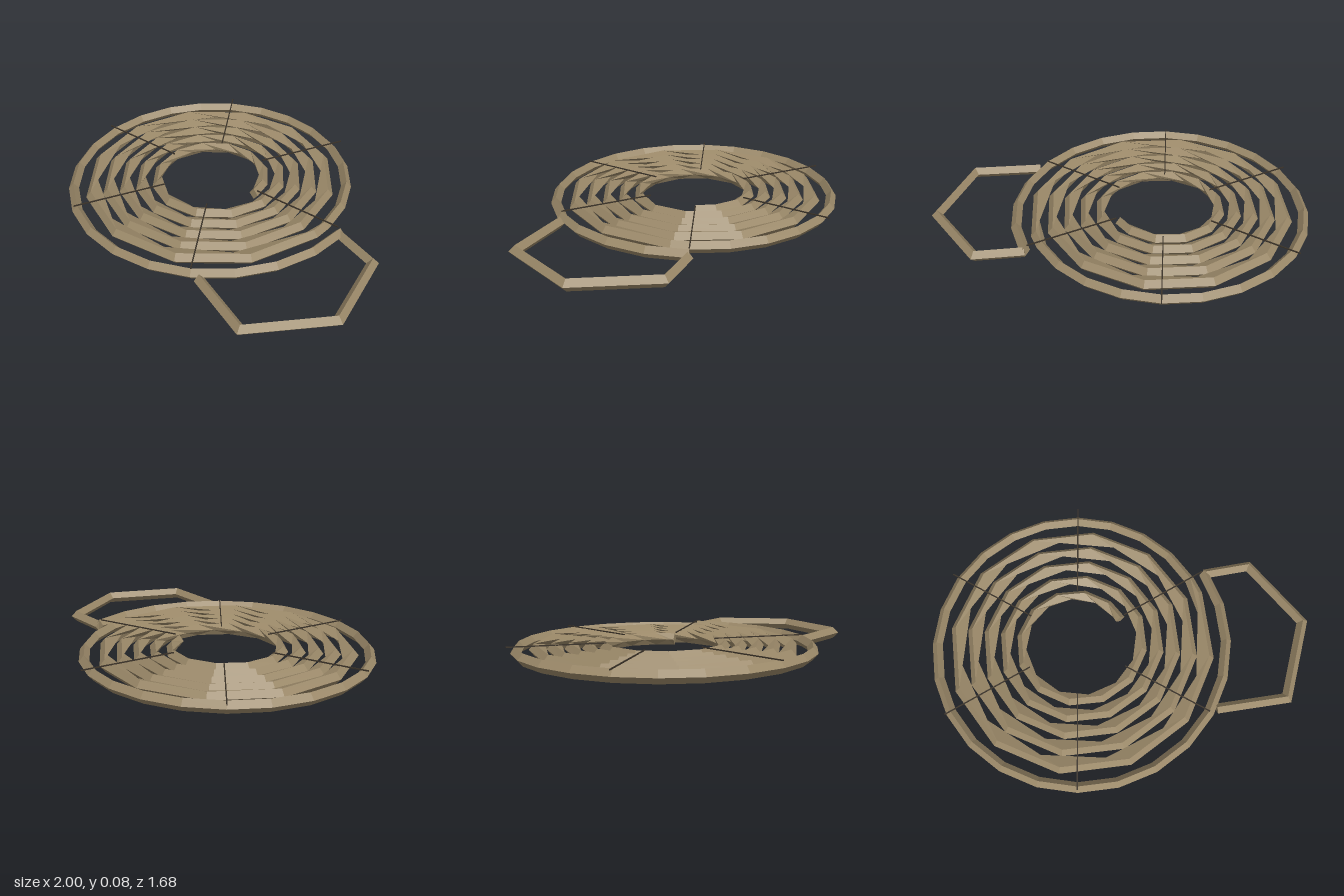
import * as THREE from 'three';

const CX = -0.18, CZ = -0.05;      // centre of the coil
const HALF_W = 0.028, HALF_H = 0.033;
const ropeMat = new THREE.MeshStandardMaterial({ color: 0x9a8868, flatShading: true, side: THREE.DoubleSide });
const tieMat = new THREE.MeshStandardMaterial({ color: 0x3a3228 });

// Skins a list of four-cornered rings (outer, top, inner, bottom) and caps both ends
function skin(rings, name) {
  const pos = [];
  const tri = (...pts) => pts.forEach(p => pos.push(p.x, p.y, p.z));
  for (let i = 0; i < rings.length - 1; i++) {
    for (let j = 0; j < 4; j++) {
      const k = (j + 1) % 4;
      const a = rings[i][j], b = rings[i][k], c = rings[i + 1][j], d = rings[i + 1][k];
      tri(a, c, b);
      tri(b, c, d);
    }
  }
  const s = rings[0], e = rings[rings.length - 1];
  tri(s[0], s[1], s[2]); tri(s[0], s[2], s[3]);
  tri(e[0], e[2], e[1]); tri(e[0], e[3], e[2]);
  const geo = new THREE.BufferGeometry();
  geo.setAttribute('position', new THREE.Float32BufferAttribute(pos, 3));
  geo.computeVertexNormals();
  const mesh = new THREE.Mesh(geo, ropeMat);
  mesh.name = name;
  return mesh;
}

// Point on the spiral at an angle in degrees, offset sideways and in height
function spiralPoint(deg, side, y) {
  const r = 0.275 + 0.093 * deg / 360 + side;
  const a = THREE.MathUtils.degToRad(deg);
  return new THREE.Vector3(CX + r * Math.cos(a), y, CZ - r * Math.sin(a));
}

// Six turns: coarse inner turns with a staggered inner edge, finer outermost turn
function makeCoil() {
  const y = 0.045;
  const steps = [[0, 0]];
  for (let d = 22.5; d < 1800; d += 30) steps.push([d, -15]);
  for (let d = 1800; d <= 2160; d += 15) steps.push([d, 0]);
  return skin(steps.map(([d, shift]) => [
    spiralPoint(d, HALF_W, y),
    spiralPoint(d, 0, y + HALF_H),
    spiralPoint(d + shift, -HALF_W, y),
    spiralPoint(d, 0, y - HALF_H),
  ]), 'ropeCoil');
}

// Loose end: mitred sweep along a few straight runs
function makeLooseEnd() {
  const y = 0.036;
  const path = [[0.655, -0.045], [0.9, 0.045], [0.968, 0.485], [0.64, 0.805], [0.28, 0.66]]
    .map(p => new THREE.Vector2(...p));
  const rings = path.map((p, i) => {
    const d0 = p.clone().sub(path[Math.max(i - 1, 0)]).normalize();
    const d1 = path[Math.min(i + 1, path.length - 1)].clone().sub(p).normalize();
    const t = d0.clone().add(d1).normalize();
    const w = HALF_W / Math.max(t.dot(d0), t.dot(d1));
    const at = (s, h) => new THREE.Vector3(p.x - t.y * s, y + h, p.y + t.x * s);
    return [at(w, 0), at(0, HALF_H), at(-w, 0), at(0, -HALF_H)];
  });
  return skin(rings, 'looseRopeEnd');
}

export function createModel() {
  const group = new THREE.Group();
  group.name = 'coiledRope';
  group.add(makeCoil(), makeLooseEnd());

  // Six thin ties laid radially across the coil
  for (let i = 0; i < 6; i++) {
    const a = i * Math.PI / 3;
    const tie = new THREE.Mesh(new THREE.BoxGeometry(0.52, 0.006, 0.006), tieMat);
    tie.position.set(CX + 0.56 * Math.cos(a), 0.079, CZ - 0.56 * Math.sin(a));
    tie.rotation.y = a;
    tie.name = 'tie' + (i + 1);
    group.add(tie);
  }
  return group;
}
